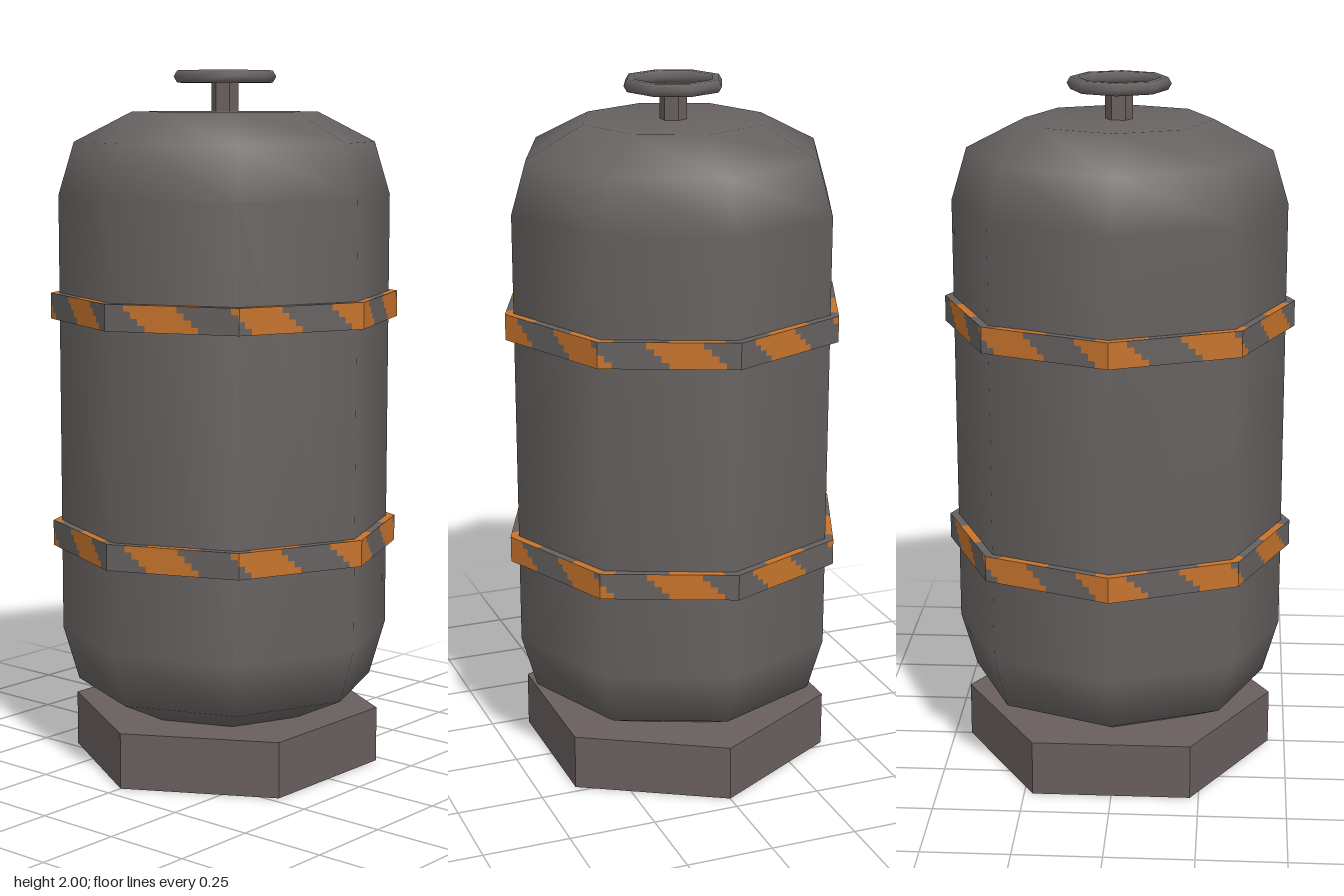
import * as THREE from 'three';

const paint = (name, color, opts = {}) => Object.assign(new THREE.MeshStandardMaterial({ color, ...opts }), { name });

// Point on an octagon of radius r; s counts sides from the front corner towards +x
function octagonPoint(s, r, y) {
  const i = Math.floor(s), t = s - i;
  const corner = (k) => new THREE.Vector3(r * Math.sin(k * Math.PI / 4), y, r * Math.cos(k * Math.PI / 4));
  return corner(i).lerp(corner(i + 1), t);
}

// Cuts the loop at corners and stripe edges, and calls back for each piece
function eachPiece(phase, callback) {
  const cuts = [];
  for (let i = 0; i <= 8; i++) cuts.push(i);
  for (let k = -2; k < 24; k++) {
    const s = phase + 0.4 * k;
    if (s > 0.001 && s < 7.999) cuts.push(s);
  }
  cuts.sort((a, b) => a - b);
  for (let i = 0; i + 1 < cuts.length; i++) {
    const a = cuts[i], b = cuts[i + 1];
    if (b - a < 1e-4) continue;
    const striped = (((a + b) / 2 - phase + 8) % 0.8) < 0.4;
    callback(a, b, striped);
  }
}

function quadGeometry(points) {
  const geometry = new THREE.BufferGeometry().setFromPoints(points);
  geometry.computeVertexNormals();
  return geometry;
}

export function createModel() {
  const model = new THREE.Group();
  const bodyGrey = paint('body grey', 0x686262);
  const baseGrey = paint('base grey', 0x685f5e, { flatShading: true });
  const bandGrey = paint('band grey', 0x666161);
  const orange = paint('stripe orange', 0xc6732c);

  const add = (name, geometry, material, parent = model) => {
    const mesh = new THREE.Mesh(geometry, material);
    mesh.name = name;
    parent.add(mesh);
    return mesh;
  };

  // Tank body: eight-sided, smooth
  const profile = [
    [0, 0.157], [0.27, 0.157], [0.43, 0.235], [0.475, 0.39],
    [0.475, 1.65], [0.43, 1.8], [0.265, 1.885], [0, 1.885],
  ].map(([r, y]) => new THREE.Vector2(r, y));
  add('tankBody', new THREE.LatheGeometry(profile, 8), bodyGrey);

  // Hexagonal foot with a hexagonal opening
  const hexagon = (r) => Array.from({ length: 6 }, (_, i) =>
    new THREE.Vector2(r * Math.cos(i * Math.PI / 3), r * Math.sin(i * Math.PI / 3)));
  const foot = new THREE.Shape(hexagon(0.451));
  foot.holes.push(new THREE.Path(hexagon(0.21)));
  add('foot', new THREE.ExtrudeGeometry(foot, { depth: 0.16, bevelEnabled: false }).rotateX(-Math.PI / 2), baseGrey);

  // Valve stem and handwheel
  add('valveStem', new THREE.CylinderGeometry(0.039, 0.039, 0.11, 6).rotateY(Math.PI / 2), baseGrey)
    .position.y = 1.925;
  add('handwheel', new THREE.TorusGeometry(0.126, 0.02, 6, 8).rotateX(Math.PI / 2), bodyGrey)
    .position.y = 1.983;

  // Hazard bands with stepped diagonal stripes
  const height = 0.074, outer = 0.5, inner = 0.473, rows = 4;
  for (const [name, bottom] of [['lowerBand', 0.636], ['upperBand', 1.298]]) {
    const band = new THREE.Group();
    band.name = name;
    const plain = [], stripes = [];
    const quad = (list, a, b, c, d) => list.push(a, b, c, a, c, d);
    const P = octagonPoint;
    for (let i = 0; i < rows; i++) {
      const y0 = bottom + height * i / rows, y1 = bottom + height * (i + 1) / rows;
      eachPiece(0.7 - 0.16 * i / (rows - 1), (a, b, striped) =>
        quad(striped ? stripes : plain, P(a, outer, y0), P(b, outer, y0), P(b, outer, y1), P(a, outer, y1)));
    }
    const top = bottom + height;
    eachPiece(0.7, (a, b, striped) => {
      quad(striped ? stripes : plain, P(a, outer, top), P(b, outer, top), P(b, inner, top), P(a, inner, top));
      quad(plain, P(a, inner, bottom), P(b, inner, bottom), P(b, outer, bottom), P(a, outer, bottom));
    });
    add(name + 'Plain', quadGeometry(plain), bandGrey, band);
    add(name + 'Stripes', quadGeometry(stripes), orange, band);
    model.add(band);
  }
  return model;
}
